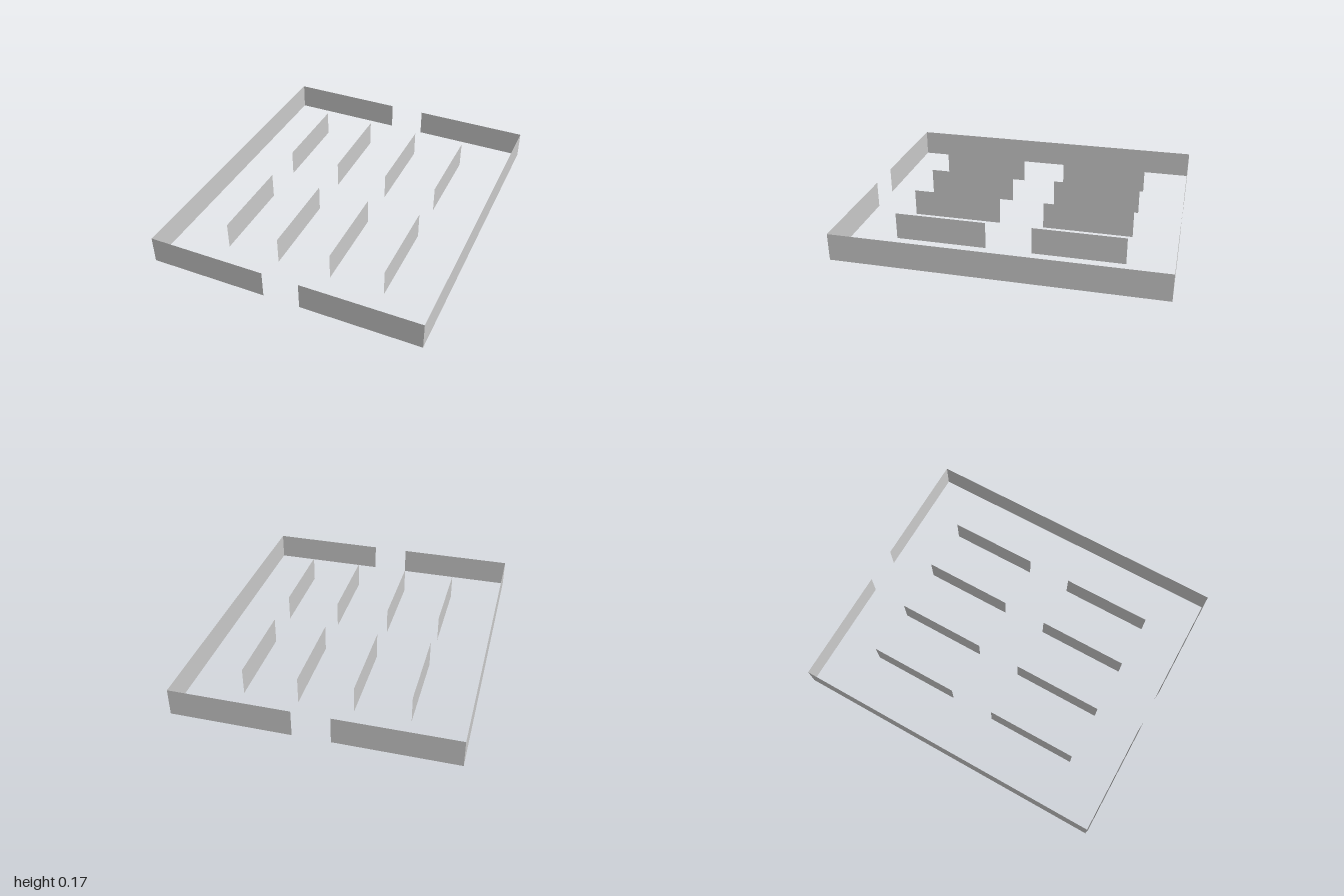
import * as THREE from 'three';

const WIDTH = 1.714, DEPTH = 2, HEIGHT = 0.171, GATE = 0.23;

export function createModel() {
  const group = new THREE.Group();
  const material = new THREE.MeshStandardMaterial({ color: 0xcccccc, side: THREE.DoubleSide });

  // Thin upright panel standing on the ground, turned about y
  function addPanel(name, length, x, z, turn) {
    const panel = new THREE.Mesh(new THREE.PlaneGeometry(length, HEIGHT), material);
    panel.name = name;
    panel.position.set(x, HEIGHT / 2, z);
    panel.rotation.y = turn;
    group.add(panel);
  }

  const endLength = (WIDTH - GATE) / 2;
  for (const sx of [-1, 1]) {
    const side = sx > 0 ? 'left' : 'right';
    // Long side walls
    addPanel(`${side}Wall`, DEPTH, sx * WIDTH / 2, 0, sx * Math.PI / 2);

    // End walls, leaving a central gateway at front and back
    for (const sz of [-1, 1]) {
      const end = sz > 0 ? 'Front' : 'Back';
      addPanel(`${side}${end}Wall`, endLength, sx * (GATE + endLength) / 2,
        sz * DEPTH / 2, sz > 0 ? 0 : Math.PI);
    }
  }

  // Two rows of four free-standing inner partitions
  const pitch = WIDTH / 5;
  for (const sz of [-1, 1]) {
    for (let i = 0; i < 4; i++) {
      addPanel(`${sz > 0 ? 'front' : 'back'}Partition${i + 1}`, 0.57,
        (i - 1.5) * pitch, sz * 0.427, Math.PI / 2);
    }
  }
  return group;
}
